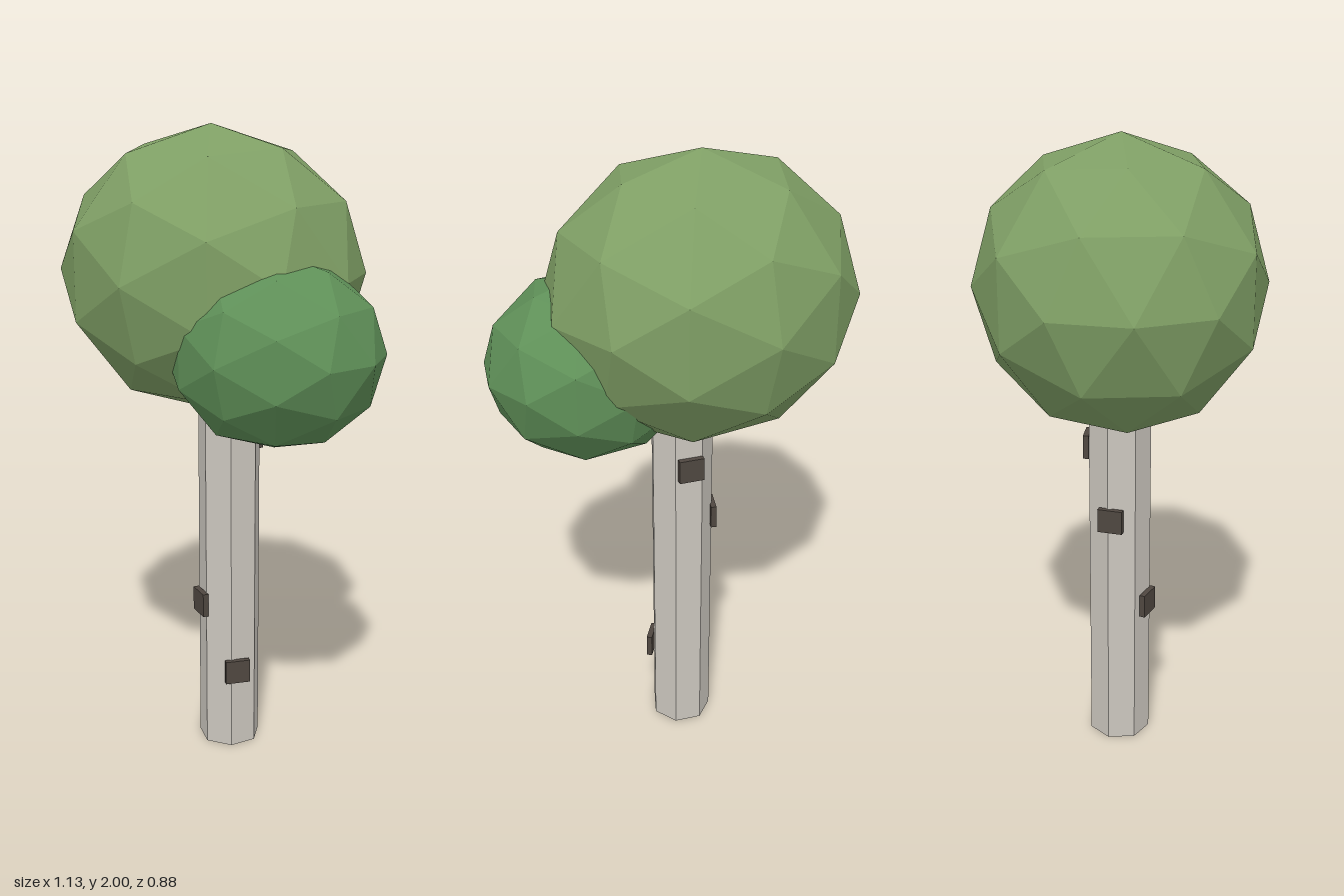
import * as THREE from 'three';

const TRUNK_X = -0.013;
const TRUNK_RADIUS = 0.1;

function part(name, geometry, color) {
  const material = new THREE.MeshStandardMaterial({ color, flatShading: true });
  const mesh = new THREE.Mesh(geometry, material);
  mesh.name = name;
  return mesh;
}

// Faceted ball of leaves, stretched to its three radii
function foliage(name, color, center, radii) {
  const mesh = part(name, new THREE.IcosahedronGeometry(1, 1), color);
  mesh.position.set(...center);
  mesh.scale.set(...radii);
  return mesh;
}

export function createModel() {
  const tree = new THREE.Group();
  tree.name = 'tree';

  // Seven-sided trunk, one corner towards +x, its top hidden in the crown
  const height = 1.25;
  const trunk = part('trunk',
    new THREE.CylinderGeometry(TRUNK_RADIUS, TRUNK_RADIUS, height, 7, 1, false, Math.PI / 2), 0xcbc6be);
  trunk.position.set(TRUNK_X, height / 2, 0);
  tree.add(trunk);

  // Dark bark patches spiralling up the trunk
  const patchHeights = [0.27, 0.492, 0.805, 1.027];
  const patches = new THREE.Group();
  patches.name = 'barkPatches';
  patchHeights.forEach((y, i) => {
    const angle = 0.7 + 1.4 * i;
    const patch = part('barkPatch', new THREE.BoxGeometry(0.018, 0.077, 0.08), 0x4f4740);
    patch.position.set(TRUNK_X + 0.102 * Math.cos(angle), y, 0.102 * Math.sin(angle));
    patch.rotation.y = -angle;
    patches.add(patch);
  });
  tree.add(patches);

  // Large crown and smaller side clump
  tree.add(foliage('crown', 0x7f9f65, [-0.08, 1.56, 0], [0.486, 0.44, 0.442]));
  tree.add(foliage('sideClump', 0x5f9058, [0.232, 1.36, 0.115], [0.333, 0.29, 0.305]));

  return tree;
}
